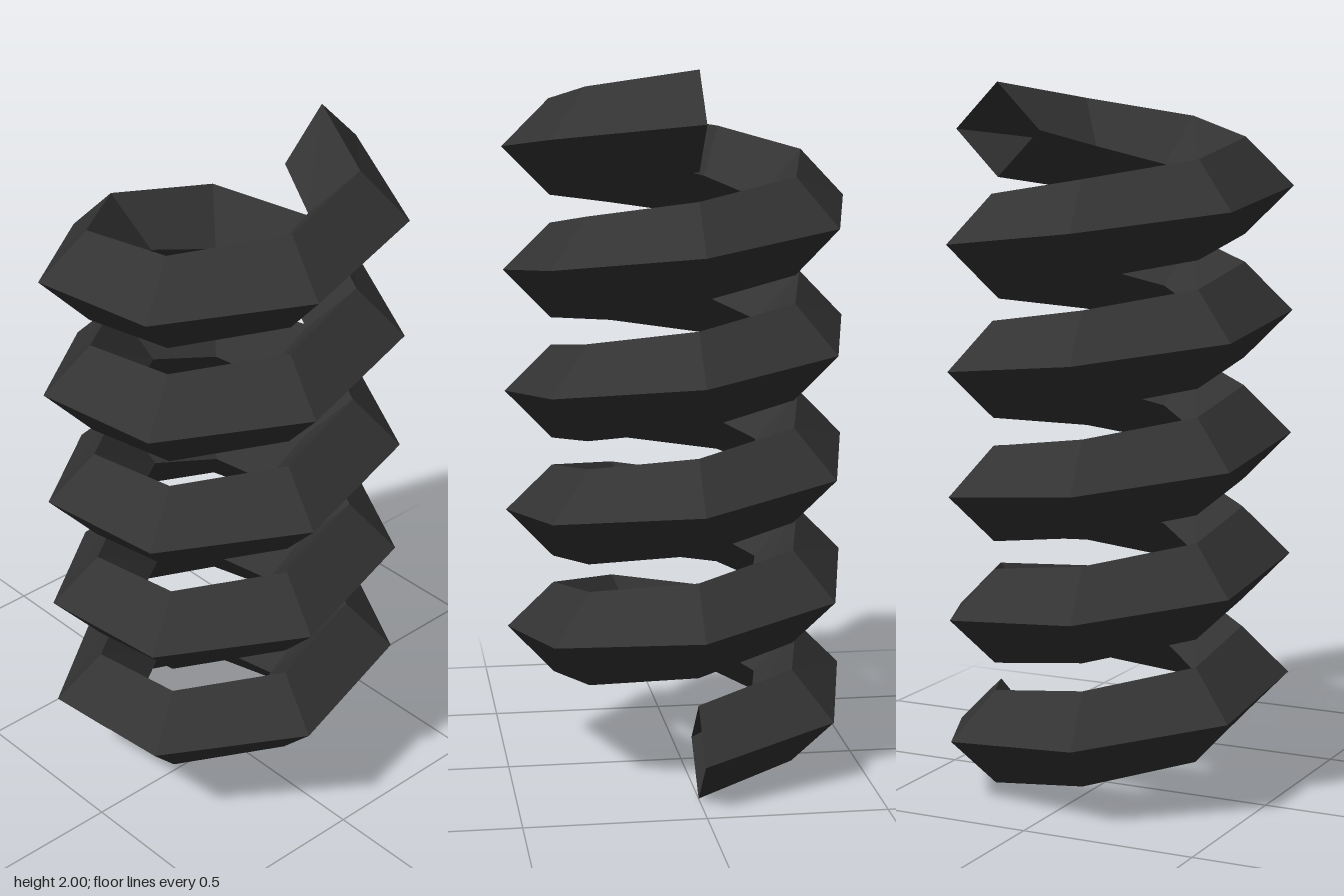
import * as THREE from 'three';

const TURNS = 5, SIDES = 7;      // seven straight runs per turn
const COIL = 0.366, WIRE = 0.134; // coil radius, half width of the diamond section
const RISE = 0.3464;              // height gained per turn
const CENTRE_X = -0.025;

// Helical coil swept with an upright diamond section, open at both ends
function coilGeometry() {
  const positions = [], index = [];
  const section = [[0, WIRE], [WIRE, 0], [0, -WIRE], [-WIRE, 0]];
  const steps = TURNS * SIDES;
  for (let i = 0; i <= steps; i++) {
    const angle = (i / SIDES) * Math.PI * 2;
    for (const [out, up] of section) {
      positions.push(
        CENTRE_X + (COIL + out) * Math.cos(angle),
        WIRE + (i / SIDES) * RISE + up,
        -(COIL + out) * Math.sin(angle));
    }
  }
  for (let i = 0; i < steps; i++) {
    for (let j = 0; j < 4; j++) {
      const a = i * 4 + j, b = i * 4 + (j + 1) % 4;
      index.push(a, b, b + 4, a, b + 4, a + 4);
    }
  }
  const geometry = new THREE.BufferGeometry();
  geometry.setAttribute('position', new THREE.Float32BufferAttribute(positions, 3));
  geometry.setIndex(index);
  const faceted = geometry.toNonIndexed();
  faceted.computeVertexNormals();
  return faceted;
}

export function createModel() {
  const group = new THREE.Group();
  group.name = 'spring';
  const material = new THREE.MeshStandardMaterial({
    color: 0x333333, flatShading: true, side: THREE.DoubleSide });
  const coil = new THREE.Mesh(coilGeometry(), material);
  coil.name = 'coil';
  group.add(coil);
  return group;
}
